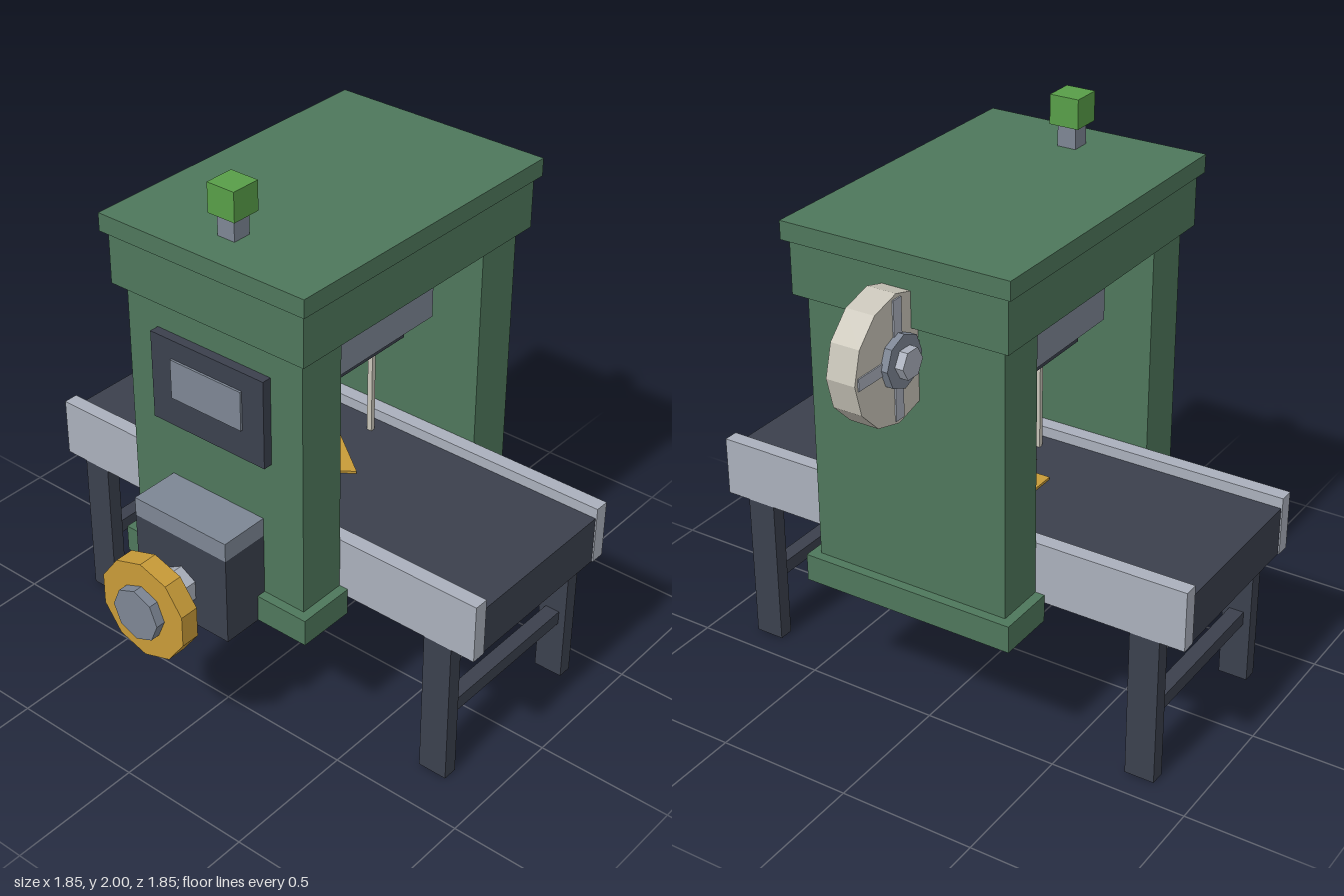
import * as THREE from 'three';

const mat = (name, color) => {
  const m = new THREE.MeshStandardMaterial({ color, flatShading: true });
  m.name = name;
  return m;
};

export function createModel() {
  const green = mat('machine green', 0x4e775b);
  const dark = mat('dark slate', 0x3b404d);
  const midGrey = mat('mid grey', 0x7d8694);
  const lightGrey = mat('light grey', 0xaab0bc);
  const cream = mat('cream', 0xc9c5b9);
  const yellow = mat('amber', 0xc89b38);
  const lamp = mat('lamp green', 0x589e48);

  const model = new THREE.Group();
  model.name = 'conveyorPress';

  const add = (name, geometry, material) => {
    const mesh = new THREE.Mesh(geometry, material);
    mesh.name = name;
    model.add(mesh);
    return mesh;
  };
  // Box given by its limits on each axis
  const box = (name, material, x0, x1, y0, y1, z0, z1) => {
    const g = new THREE.BoxGeometry(x1 - x0, y1 - y0, z1 - z0);
    g.translate((x0 + x1) / 2, (y0 + y1) / 2, (z0 + z1) / 2);
    return add(name, g, material);
  };
  // Low-sided disc along x, with a corner pointing up
  const discX = (name, material, r, sides, x0, x1, y) => {
    const g = new THREE.CylinderGeometry(r, r, x1 - x0, sides, 1, false, Math.PI / 2);
    g.rotateZ(Math.PI / 2).translate((x0 + x1) / 2, y, 0);
    return add(name, g, material);
  };
  // Low-sided disc along z
  const discZ = (name, material, r, sides, depth, x, y, start = 0) => {
    const g = new THREE.CylinderGeometry(r, r, depth, sides, 1, false, start);
    g.rotateX(Math.PI / 2).translate(x, y, 0);
    return add(name, g, material);
  };

  // Housing
  box('leftPlinth', green, 0.405, 0.625, 0.49, 0.59, -0.405, 0.405);
  box('rightPlinth', green, -0.555, -0.335, 0.49, 0.59, -0.405, 0.405);
  box('leftColumn', green, 0.405, 0.59, 0.59, 1.56, -0.37, 0.37);
  box('rightColumn', green, -0.52, -0.335, 0.59, 1.56, -0.37, 0.37);
  box('head', green, -0.555, 0.625, 1.56, 1.75, -0.405, 0.405);
  box('lid', green, -0.575, 0.645, 1.75, 1.815, -0.425, 0.425);

  // Signal lamp
  box('lampStem', midGrey, -0.445, -0.375, 1.815, 1.895, -0.035, 0.035);
  box('lampCube', lamp, -0.465, -0.355, 1.895, 2.0, -0.055, 0.055);

  // Press block under the head
  box('pressBlock', midGrey, -0.22, 0.295, 1.3, 1.56, -0.25, 0.25);
  box('pressPlate', dark, -0.15, 0.22, 1.23, 1.3, -0.19, 0.19);

  // Conveyor
  box('belt', dark, -0.28, 0.35, 0.56, 0.74, -0.92, 0.92);
  for (const x of [-0.335, 0.35]) {
    box('rail', lightGrey, x, x + 0.055, 0.56, 0.78, -0.925, 0.925);
    for (const z of [-0.78, 0.78]) box('leg', dark, x, x + 0.055, 0, 0.56, z - 0.055, z + 0.055);
  }
  for (const z of [-0.78, 0.78]) box('crossBar', dark, -0.28, 0.35, 0.228, 0.28, z - 0.028, z + 0.028);

  // Sensor arch over the belt
  for (const x of [-0.22, 0.277]) box('archPost', cream, x, x + 0.018, 0.74, 1.117, -0.01, 0.01);
  box('archTop', cream, -0.22, 0.295, 1.117, 1.135, -0.01, 0.01);

  // Direction arrow lying on the belt, pointing forward
  const arrow = new THREE.Shape([
    [0, -0.14], [0.145, 0.055], [0.06, 0.055], [0.06, 0.16],
    [-0.06, 0.16], [-0.06, 0.055], [-0.145, 0.055],
  ].map(([x, y]) => new THREE.Vector2(x, y)));
  const arrowGeometry = new THREE.ExtrudeGeometry(arrow, { depth: 0.009, bevelEnabled: false });
  arrowGeometry.rotateX(-Math.PI / 2).translate(0.035, 0.742, 0);
  add('arrow', arrowGeometry, yellow);

  // Drive motor and amber handwheel
  box('motorBody', dark, -0.705, -0.52, 0.49, 0.82, -0.2, 0.2);
  box('motorCap', midGrey, -0.705, -0.52, 0.82, 0.89, -0.2, 0.2);
  discX('driveShaft', lightGrey, 0.07, 6, -0.78, -0.7, 0.635);
  discX('handwheelHub', midGrey, 0.097, 8, -0.925, -0.78, 0.635);
  discX('handwheel', yellow, 0.185, 10, -0.89, -0.82, 0.635);

  // Control panel
  box('controlPanel', dark, -0.555, -0.52, 1.12, 1.445, -0.24, 0.24);
  box('screen', midGrey, -0.563, -0.555, 1.23, 1.375, -0.15, 0.15);

  // Cream side wheel with cross spokes
  const wx = 0.7, wy = 1.485;
  discX('wheelAxle', lightGrey, 0.058, 6, 0.59, wx, wy);
  discZ('sideWheel', cream, 0.22, 12, 0.106, wx, wy);
  box('uprightSpoke', lightGrey, wx - 0.021, wx + 0.021, wy - 0.205, wy + 0.205, -0.058, 0.058);
  box('levelSpoke', lightGrey, wx - 0.205, wx + 0.205, wy - 0.021, wy + 0.021, -0.0575, 0.0575);
  discZ('wheelHub', midGrey, 0.092, 8, 0.16, wx, wy);
  discZ('wheelNut', lightGrey, 0.053, 6, 0.22, wx, wy, Math.PI / 2);

  return model;
}
